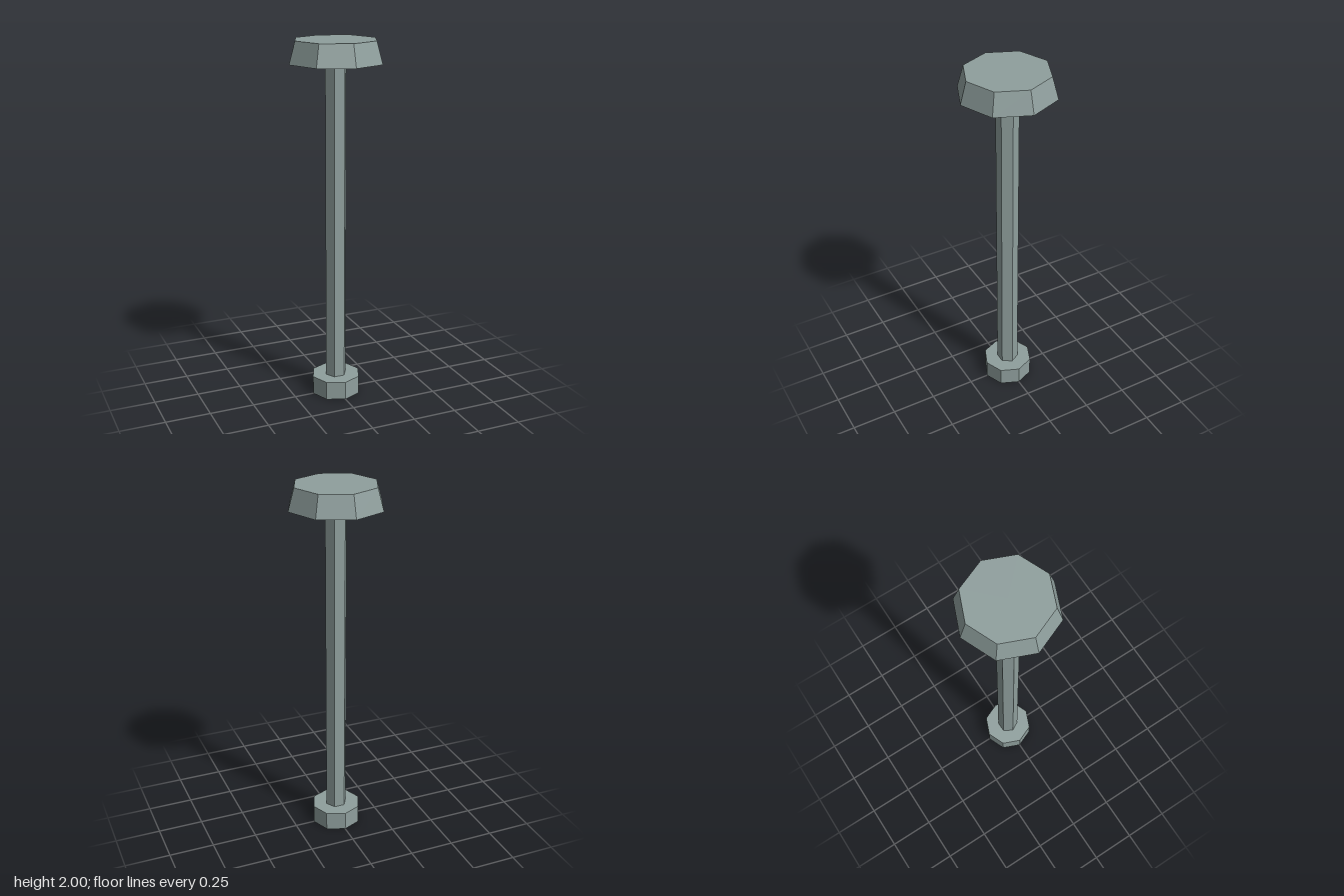
import * as THREE from 'three';

export function createModel() {
  const model = new THREE.Group();
  model.name = 'boltedPost';

  const metal = new THREE.MeshStandardMaterial({ color: 0x8f9f9d });
  metal.name = 'greyGreenMetal';

  // Faceted prism between two heights, with a corner on the +x axis
  function addPrism(name, topRadius, bottomRadius, y0, y1, sides) {
    const geometry = new THREE.CylinderGeometry(
      topRadius, bottomRadius, y1 - y0, sides, 1, false, Math.PI / 2
    ).toNonIndexed();
    geometry.computeVertexNormals(); // flat facets
    const mesh = new THREE.Mesh(geometry, metal);
    mesh.name = name;
    mesh.position.y = (y0 + y1) / 2;
    model.add(mesh);
  }

  addPrism('base', 0.14, 0.14, 0, 0.105, 8);
  addPrism('shaft', 0.06, 0.06, 0.105, 1.88, 6);
  addPrism('cap', 0.227, 0.261, 1.88, 2, 8);

  return model;
}
